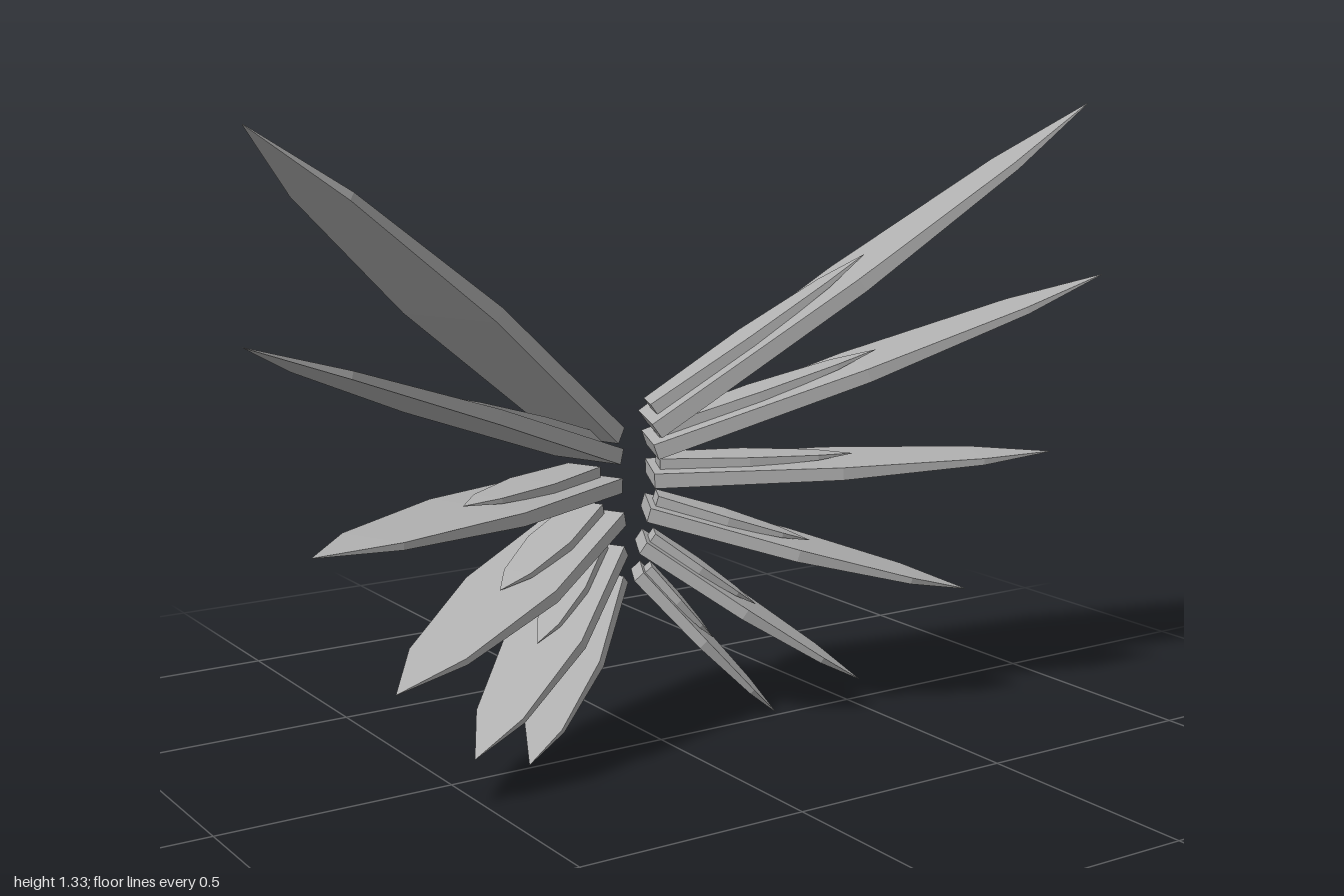
import * as THREE from 'three';

// Tapered blade along local +x from the origin: a box of three segments with rescaled stations
function bladeGeometry(length, width, thickness) {
  const geometry = new THREE.BoxGeometry(1, 1, 1, 3, 1, 1);
  const along = [0, 0.45, 0.81, 1];
  const across = [0.73, 1, 0.62, 0.01];
  const deep = [1, 0.85, 0.45, 0.03];
  const p = geometry.attributes.position;
  for (let i = 0; i < p.count; i++) {
    const k = Math.round((p.getX(i) + 0.5) * 3);
    p.setXYZ(i, along[k] * length, p.getY(i) * deep[k] * thickness, p.getZ(i) * across[k] * width);
  }
  const flat = geometry.toNonIndexed();
  flat.computeVertexNormals();
  return flat;
}

export function createModel() {
  const model = new THREE.Group();
  model.name = 'wings';
  const grey = new THREE.MeshStandardMaterial({ color: 0xb0b0b0, flatShading: true });
  grey.name = 'feather grey';

  // Root, tip, greatest width and thickness of each feather, from top to bottom
  const feathers = [
    [[0.077, 0.65, -0.163], [0.972, 1.327, 0.207], 0.235, 0.037],
    [[0.077, 0.605, -0.163], [1.0, 0.955, 0.242], 0.235, 0.034],
    [[0.077, 0.542, -0.163], [0.88, 0.568, 0.225], 0.232, 0.032],
    [[0.066, 0.468, -0.163], [0.695, 0.268, 0.166], 0.215, 0.031],
    [[0.052, 0.395, -0.161], [0.48, 0.07, 0.066], 0.18, 0.029],
    [[0.042, 0.33, -0.16], [0.312, 0.001, -0.015], 0.147, 0.027],
  ];
  const up = new THREE.Vector3(0, 1, 0);

  for (const [side, wingName] of [[1, 'leftWing'], [-1, 'rightWing']]) {
    const wing = new THREE.Group();
    wing.name = wingName;
    feathers.forEach(([root, tip, width, thickness], i) => {
      const start = new THREE.Vector3(side * root[0], root[1], root[2]);
      const end = new THREE.Vector3(side * tip[0], tip[1], tip[2]);
      const length = start.distanceTo(end);

      // Frame with x along the feather, y out of its upper face and z level across it
      const x = end.clone().sub(start).normalize();
      const z = x.clone().cross(up).normalize();
      const y = z.clone().cross(x);
      const feather = new THREE.Group();
      feather.name = `feather${i + 1}`;
      feather.position.copy(start);
      feather.quaternion.setFromRotationMatrix(new THREE.Matrix4().makeBasis(x, y, z));

      const blade = new THREE.Mesh(bladeGeometry(length, width, thickness), grey);
      blade.name = 'blade';

      // Small covert feather lying on the upper face
      const covert = new THREE.Mesh(bladeGeometry(length * 0.48, width * 0.48, thickness * 0.78), grey);
      covert.name = 'covert';
      covert.position.set(length * 0.02, thickness * 0.82, 0);
      covert.rotation.z = -Math.atan2(thickness * 0.2, length * 0.48);
      feather.add(blade, covert);
      wing.add(feather);
    });
    model.add(wing);
  }
  return model;
}
